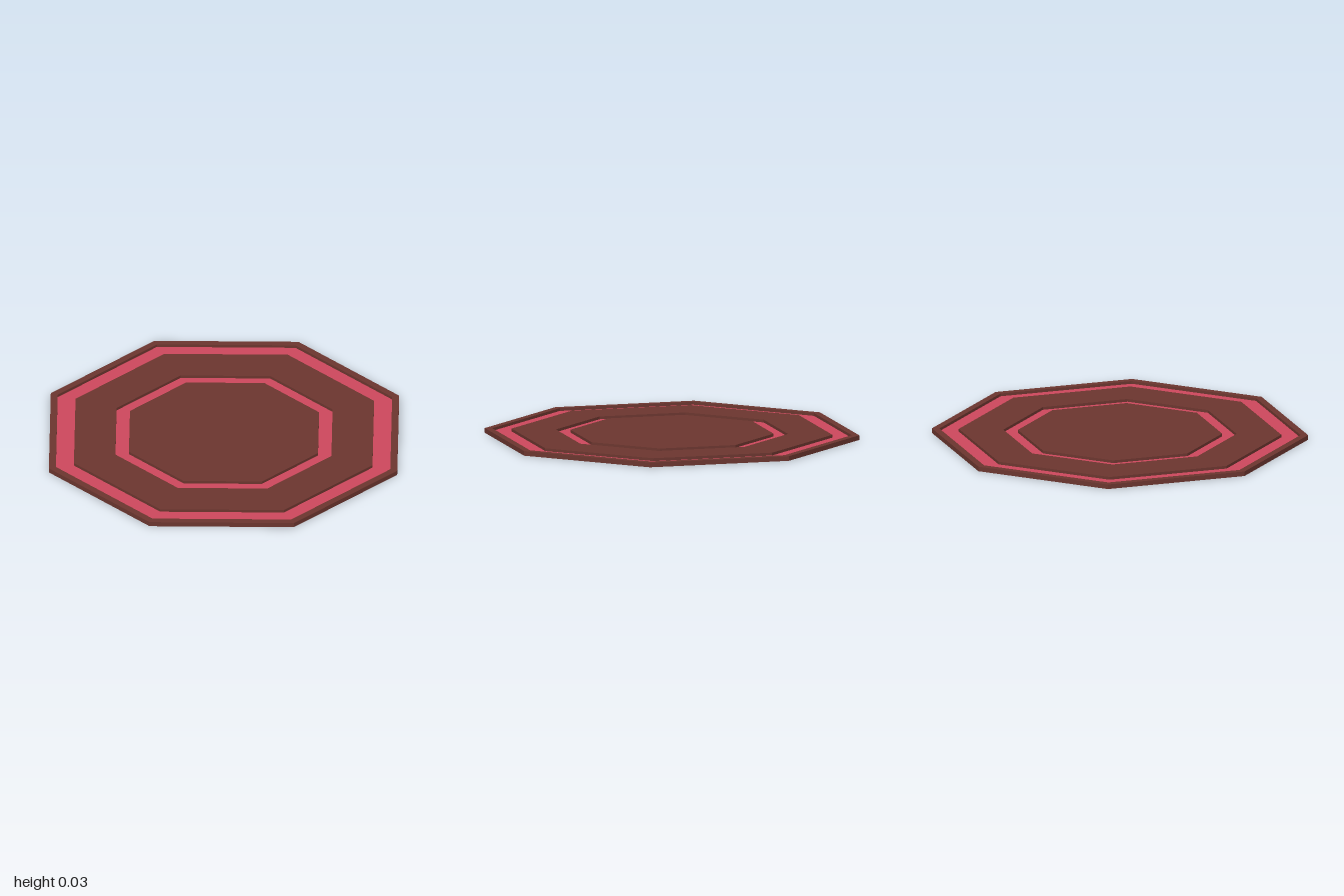
import * as THREE from 'three';

const SIDES = 8;
const TOP = 0.025; // height of the raised faces
const FLOOR = 0.01; // height of the groove floors

export function createModel() {
  const brown = new THREE.MeshStandardMaterial({ color: 0x6b352e });
  brown.name = 'brown';
  const rose = new THREE.MeshStandardMaterial({ color: 0xcc475c });
  rose.name = 'rose';
  const black = new THREE.MeshStandardMaterial({ color: 0x090909 });
  black.name = 'black';

  const model = new THREE.Group();
  model.name = 'octagonalPlate';

  // Turns a profile of [radius, height] points into a faceted eight-sided band
  function band(name, profile, material) {
    const points = profile.map(([r, y]) => new THREE.Vector2(r, y));
    const geometry = new THREE.LatheGeometry(points, SIDES).toNonIndexed();
    geometry.computeVertexNormals();
    const mesh = new THREE.Mesh(geometry, material);
    mesh.name = name;
    model.add(mesh);
  }

  // Flat underside
  band('underside', [[0, 0], [1, 0]], black);

  // Outer rim with its side wall and the inner wall down to the groove
  band('outerRim', [[1, 0], [1, TOP], [0.96, TOP], [0.96, FLOOR]], brown);
  band('outerGroove', [[0.96, FLOOR], [0.857, FLOOR]], rose);

  // Raised ring between the two grooves
  band('middleRing', [[0.857, FLOOR], [0.857, TOP], [0.62, TOP], [0.62, FLOOR]], brown);
  band('innerGroove', [[0.62, FLOOR], [0.543, FLOOR]], rose);

  // Raised centre
  band('centrePanel', [[0.543, FLOOR], [0.543, TOP], [0, TOP]], brown);

  return model;
}
